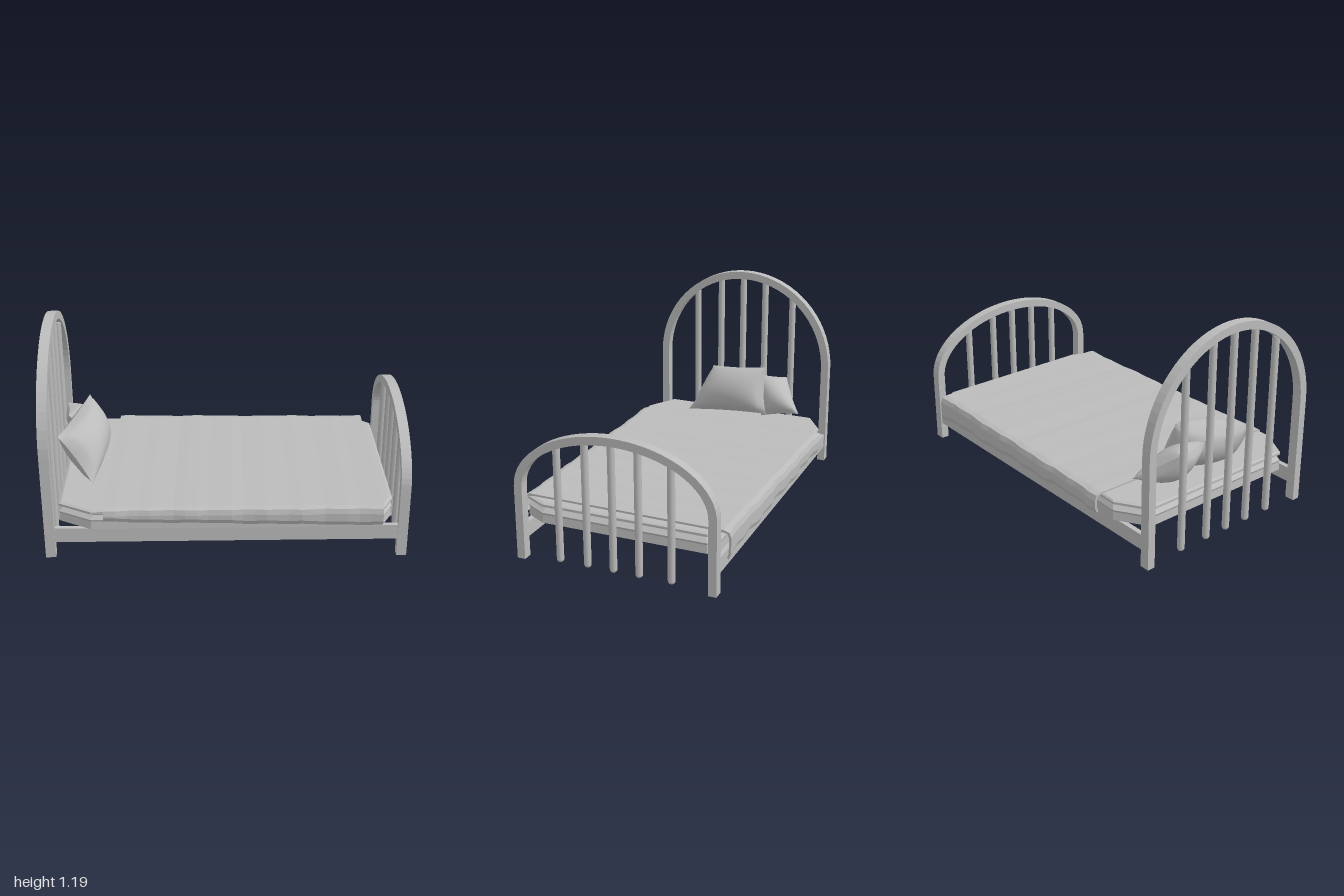
import * as THREE from 'three';
import { mergeVertices } from 'three/addons/utils/BufferGeometryUtils.js';

const grey = new THREE.MeshStandardMaterial({ color: 0xbbbbbb });
grey.name = 'paleGrey';

function addMesh(parent, geometry, name) {
  const mesh = new THREE.Mesh(geometry, grey);
  mesh.name = name;
  parent.add(mesh);
  return mesh;
}

// Joins equal rings of points into a closed, faceted solid with strip caps
function loft(rings) {
  const n = rings[0].length;
  const pos = [];
  const quad = (a, b, c, d) => [a, b, c, a, c, d].forEach((p) => pos.push(...p));
  for (let k = 0; k < rings.length - 1; k++) {
    for (let i = 0; i < n; i++) {
      const j = (i + 1) % n;
      quad(rings[k][i], rings[k][j], rings[k + 1][j], rings[k + 1][i]);
    }
  }
  const first = rings[0], last = rings[rings.length - 1];
  for (let i = 0; i < n / 2 - 1; i++) {
    quad(last[i], last[i + 1], last[n - 2 - i], last[n - 1 - i]);
    quad(first[n - 1 - i], first[n - 2 - i], first[i + 1], first[i]);
  }
  const g = new THREE.BufferGeometry();
  g.setAttribute('position', new THREE.Float32BufferAttribute(pos, 3));
  g.computeVertexNormals();
  return g;
}

// Arched end board: one bent square bar plus five round bars with bullet feet
function endBoard(name, x, bottom, spring, top) {
  const board = new THREE.Group();
  board.name = name;
  board.position.x = x;
  const a = 0.563, bar = 0.045, depth = 0.055, rise = top - spring;
  const shape = new THREE.Shape();
  shape.moveTo(a, bottom);
  shape.lineTo(a, spring);
  shape.absellipse(0, spring, a, rise, 0, Math.PI, false);
  shape.lineTo(-a, bottom);
  shape.lineTo(bar - a, bottom);
  shape.lineTo(bar - a, spring);
  shape.absellipse(0, spring, a - bar, rise - bar, Math.PI, 0, true);
  shape.lineTo(a - bar, bottom);
  shape.closePath();
  const arch = new THREE.ExtrudeGeometry(shape, { depth, bevelEnabled: false, curveSegments: 18 });
  arch.translate(0, 0, -depth / 2).rotateY(-Math.PI / 2);
  addMesh(board, arch, 'archedBar');

  const r = 0.02, foot = 0.01;
  for (const z of [0.32, 0.16, 0.012, -0.133, -0.312]) {
    const end = spring + (rise - bar) * Math.sqrt(1 - (z / (a - bar)) ** 2) + 0.02;
    const spindle = addMesh(board, new THREE.CapsuleGeometry(r, end - foot - 2 * r, 4, 10), 'spindle');
    spindle.position.set(0, (end + foot) / 2, z);
  }
  return board;
}

// Cushion stretched between four corners, pinched at the seams
function pillow(name, corners, thickness) {
  const [bl, br, tr, tl] = corners.map((c) => new THREE.Vector3(...c));
  const normal = br.clone().add(tr).sub(bl).sub(tl)
    .cross(tl.clone().add(tr).sub(bl).sub(br)).normalize();
  const group = new THREE.Group();
  group.name = name;
  for (const side of [1, -1]) {
    const g = new THREE.PlaneGeometry(2, 2, 18, 18);
    const p = g.attributes.position;
    for (let i = 0; i < p.count; i++) {
      const u0 = p.getX(i) * side, v0 = p.getY(i);
      const u = u0 * (1 - 0.07 * (1 - v0 * v0));
      const v = v0 * (1 - 0.05 * (1 - u0 * u0));
      const low = bl.clone().lerp(br, (u + 1) / 2);
      const high = tl.clone().lerp(tr, (u + 1) / 2);
      const puff = Math.pow(Math.max(0, (1 - u0 * u0) * (1 - v0 * v0)), 0.55);
      low.lerp(high, (v + 1) / 2).addScaledVector(normal, side * thickness * puff);
      p.setXYZ(i, low.x, low.y, low.z);
    }
    g.deleteAttribute('uv');
    g.deleteAttribute('normal');
    const smooth = mergeVertices(g);
    smooth.computeVertexNormals();
    addMesh(group, smooth, side > 0 ? 'pillowFront' : 'pillowBack');
  }
  return group;
}

// Mattress with cut corners and a piped rim
function mattressGeometry() {
  const outline = [[-0.9, 0.49], [-0.72, 0.585], [0.85, 0.55], [0.915, 0.43],
    [0.9, -0.5], [0.84, -0.55], [-0.74, -0.56], [-0.91, -0.45]];
  const layers = [[0.185, 0.985], [0.19, 1], [0.235, 0.995], [0.247, 1],
    [0.27, 0.975], [0.282, 1], [0.295, 1], [0.302, 0.985]];
  return loft(layers.map(([y, s]) => outline.map(([x, z]) => [x * s, y, z * s])));
}

// Blanket laid over the mattress, hanging down both long sides
function blanketGeometry() {
  const rings = [];
  const steps = 24;
  for (let k = 0; k <= steps; k++) {
    const t = k / steps;
    const x = -0.65 + 1.503 * t;
    const w = 0.004 * Math.sin(k * 1.9) + 0.003 * Math.sin(k * 0.8 + 1);
    const front = 0.594 - 0.026 * t + w;
    const back = -0.604 - w;
    const hemF = 0.235 - 0.035 * t + w;
    const hemB = 0.205 - 0.04 * t - w;
    const top = 0.311 + w * 0.3;
    const outer = [[back + 0.012, hemB], [back, hemB + 0.03], [back, 0.275],
      [back + 0.01, 0.303], [back + 0.04, top], [front - 0.035, top],
      [front - 0.008, 0.303], [front, 0.275], [front, hemF + 0.025], [front - 0.01, hemF]];
    const inner = [[front - 0.02, hemF + 0.005], [front - 0.013, hemF + 0.027],
      [front - 0.013, 0.272], [front - 0.018, 0.294], [front - 0.04, 0.3],
      [back + 0.045, 0.3], [back + 0.02, 0.294], [back + 0.013, 0.272],
      [back + 0.013, hemB + 0.032], [back + 0.022, hemB + 0.005]];
    rings.push([...outer, ...inner].map(([z, y]) => [x, y, z]));
  }
  return loft(rings);
}

export function createModel() {
  const bed = new THREE.Group();
  bed.name = 'bed';

  // Frame sits very slightly askew
  const frame = new THREE.Group();
  frame.name = 'frame';
  frame.rotation.y = 0.02;
  bed.add(frame);
  frame.add(endBoard('headboard', -0.957, 0.01, 0.62, 1.192));
  frame.add(endBoard('footboard', 0.957, 0, 0.41, 0.757));
  for (const side of [1, -1]) {
    const rail = addMesh(frame, new THREE.BoxGeometry(1.88, 0.085, 0.028), 'sideRail');
    rail.position.set(0, 0.144, side * 0.542);
  }

  addMesh(bed, mattressGeometry(), 'mattress');
  addMesh(bed, blanketGeometry(), 'blanket');

  bed.add(pillow('largePillow', [[-0.73, 0.31, 0.31], [-0.69, 0.365, -0.23],
    [-0.785, 0.635, -0.19], [-0.925, 0.56, 0.22]], 0.115));
  bed.add(pillow('smallPillow', [[-0.77, 0.32, -0.17], [-0.73, 0.38, -0.43],
    [-0.93, 0.54, -0.28], [-0.9, 0.55, -0.08]], 0.085));
  return bed;
}
